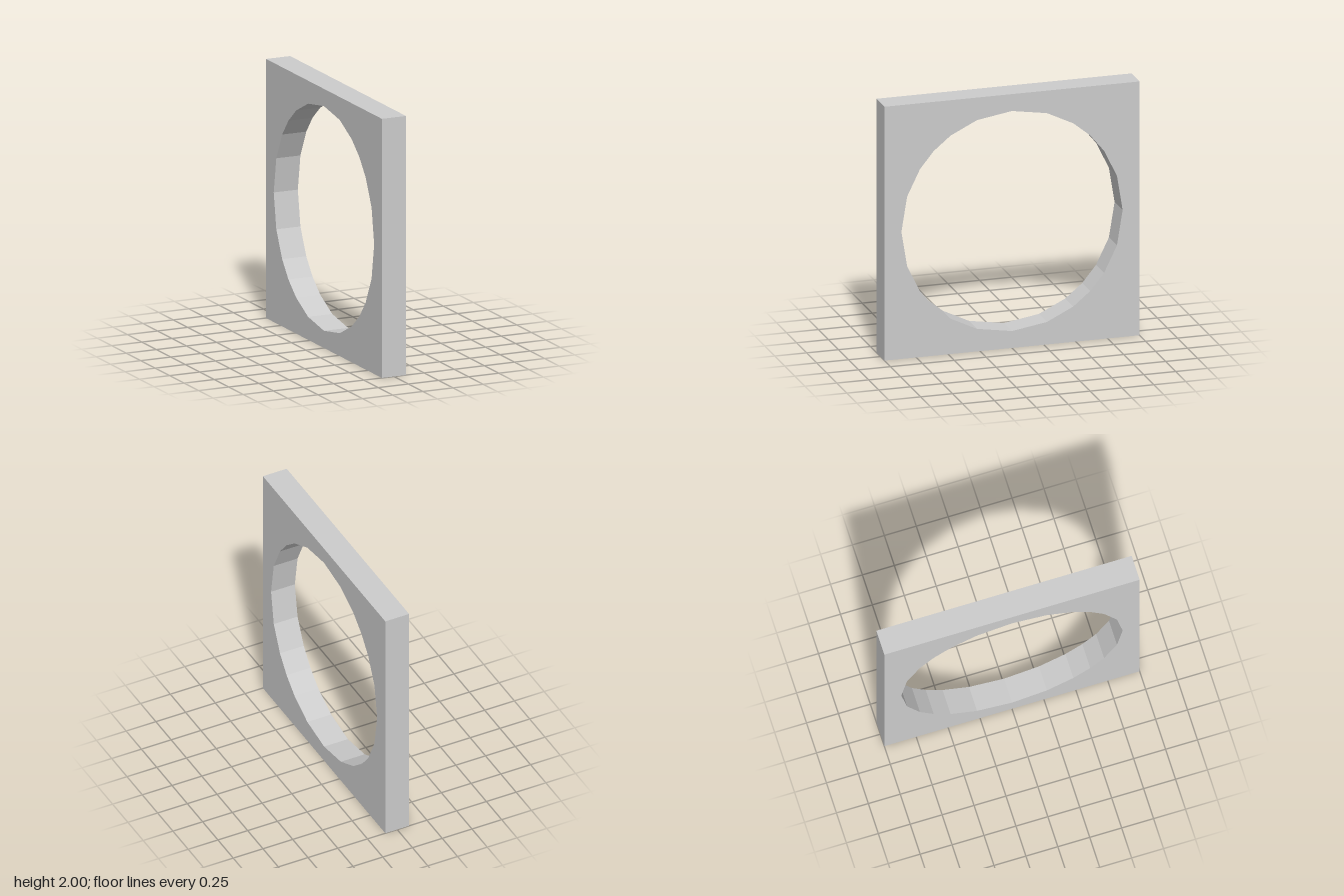
import * as THREE from 'three';

const SIZE = 2, DEPTH = 0.2, HOLE_RADIUS = 0.867, STEPS = 3;

// Round opening: evenly spaced points of a square pushed out onto a circle
function openingPath() {
  const points = [];
  for (let side = 0; side < 4; side++) {
    for (let i = -STEPS; i < STEPS; i++) {
      const a = side * Math.PI / 2 + Math.atan2(i, STEPS);
      points.push(new THREE.Vector2(Math.cos(a) * HOLE_RADIUS, Math.sin(a) * HOLE_RADIUS));
    }
  }
  return new THREE.Path(points.reverse());
}

export function createModel() {
  const group = new THREE.Group();
  group.name = 'squareFrameWithRoundOpening';

  // Square panel outline
  const h = SIZE / 2;
  const outline = new THREE.Shape([
    new THREE.Vector2(-h, -h), new THREE.Vector2(h, -h),
    new THREE.Vector2(h, h), new THREE.Vector2(-h, h),
  ]);
  outline.holes.push(openingPath());

  // Extrude the thickness, then turn the panel to face sideways
  const geometry = new THREE.ExtrudeGeometry(outline, { depth: DEPTH, bevelEnabled: false });
  geometry.translate(0, h, -DEPTH / 2);
  geometry.rotateY(Math.PI / 2);

  const panel = new THREE.Mesh(
    geometry,
    new THREE.MeshStandardMaterial({ color: 0xcccccc, flatShading: true })
  );
  panel.name = 'framePanel';
  group.add(panel);
  return group;
}
